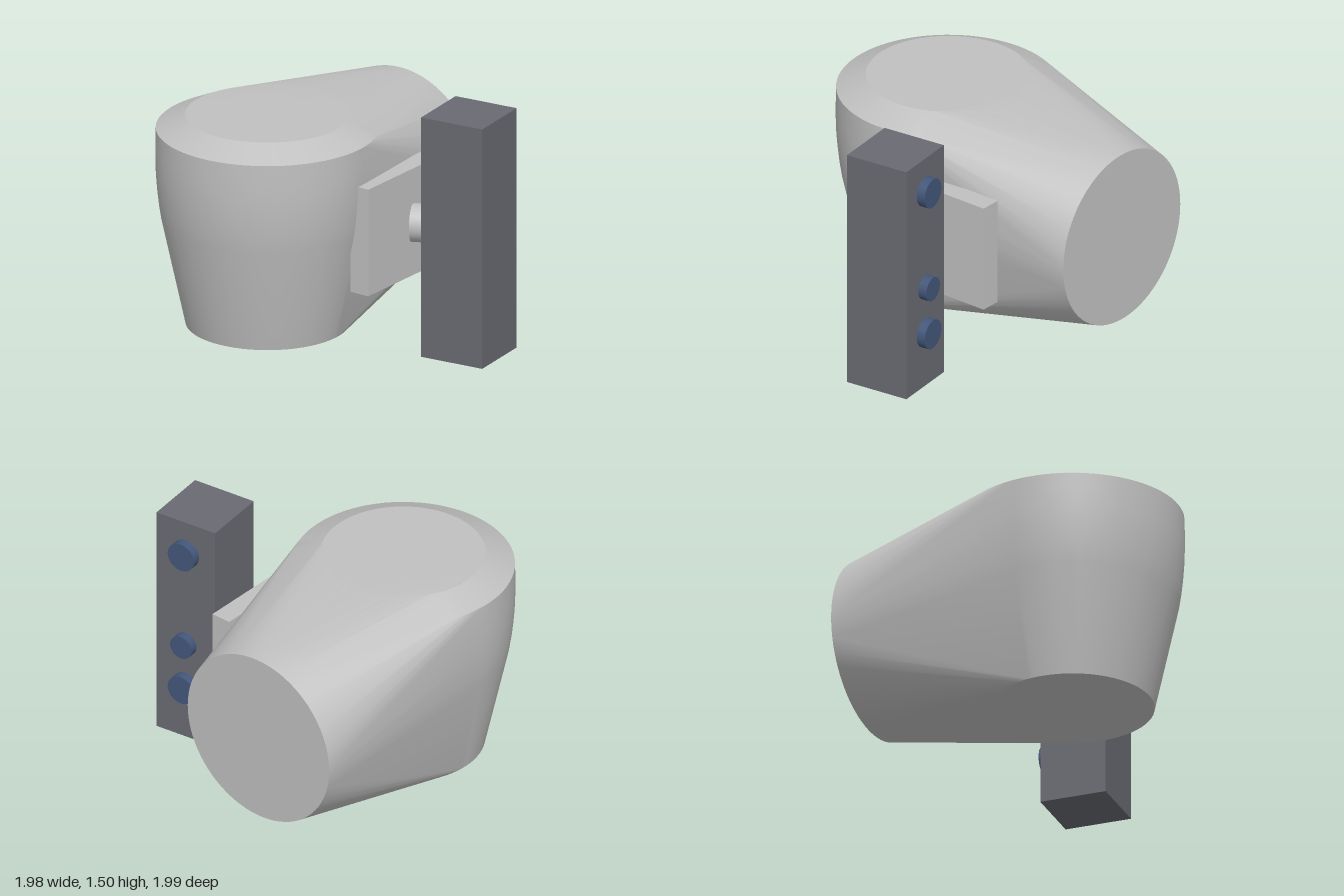
import * as THREE from 'three';
import { toCreasedNormals } from 'three/addons/utils/BufferGeometryUtils.js';
import { ConvexGeometry } from 'three/addons/geometries/ConvexGeometry.js';

const paint = (name, color) => {
  const m = new THREE.MeshStandardMaterial({ color });
  m.name = name;
  return m;
};

export function createModel() {
  const lightGrey = paint('light grey', 0xc0c0c0);
  const darkGrey = paint('dark grey', 0x696b72);
  const blue = paint('slate blue', 0x43577a);

  const model = new THREE.Group();
  model.name = 'housingWithControlColumn';

  const add = (parent, name, geometry, material, x, y, z) => {
    const mesh = new THREE.Mesh(geometry, material);
    mesh.name = name;
    mesh.position.set(x, y, z);
    parent.add(mesh);
    return mesh;
  };

  // Housing: a hull stretched from an upright round drum to a round end disc
  const profile = [ // [radius, y] of the drum
    [0.485, 0.1], [0.628, 0.76], [0.642, 0.85], [0.652, 0.94],
    [0.659, 1.03], [0.662, 1.12], [0.662, 1.22], [0.66, 1.322], [0.485, 1.405],
  ];
  const points = [];
  const segments = 80;
  for (let i = 0; i < segments; i++) {
    const a = (i / segments) * Math.PI * 2;
    const c = Math.cos(a), s = Math.sin(a);
    for (const [r, y] of profile) points.push(new THREE.Vector3(-0.33 + r * c, y, -0.338 + r * s));
    points.push(new THREE.Vector3(0.99, 0.755 + 0.545 * c, -0.338 + 0.545 * s));
  }
  const hull = toCreasedNormals(new ConvexGeometry(points), 0.4);
  add(model, 'housing', hull, lightGrey, 0, 0, 0);

  // Mounting plate on the front of the housing
  add(model, 'mountingPlate', new THREE.BoxGeometry(0.87, 0.67, 0.13), lightGrey, 0.105, 0.755, 0.332);

  // Short swivel pin between plate and column
  const pin = new THREE.CylinderGeometry(0.115, 0.115, 0.135, 40);
  pin.rotateX(Math.PI / 2);
  add(model, 'swivelPin', pin, lightGrey, 0.135, 0.755, 0.46).rotation.y = 0.45;

  // Column, turned slightly, with buttons on its left side
  const column = new THREE.Group();
  column.name = 'controlColumn';
  column.position.set(0.17, 0, 0.765);
  column.rotation.y = 0.12;
  model.add(column);
  add(column, 'columnBody', new THREE.BoxGeometry(0.413, 1.505, 0.413), darkGrey, 0, 0.7525, 0);

  for (const [name, y, r] of [['topButton', 1.29, 0.092], ['middleButton', 0.655, 0.075], ['lowerButton', 0.355, 0.092]]) {
    const button = new THREE.CylinderGeometry(r, r, 0.08, 40);
    button.rotateZ(-Math.PI / 2);
    add(column, name, button, blue, 0.222, y, 0);
  }

  return model;
}
